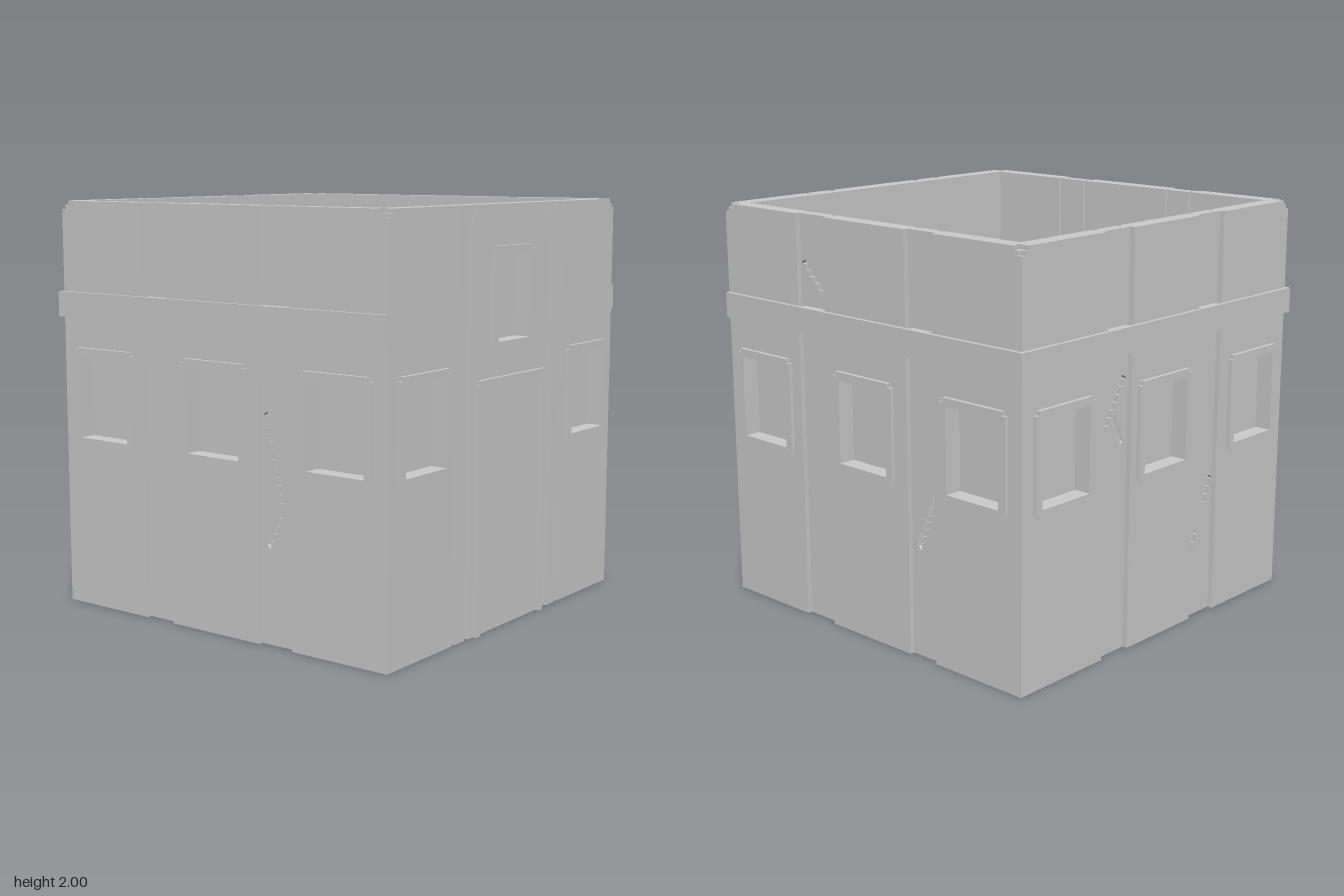
import * as THREE from 'three';

const material = new THREE.MeshStandardMaterial({ color: 0xcccccc, flatShading: true });
const TOP = 2;
// wall thickness, as layers from the outside in
const FACE = 0.98, STRIP = 0.955, CRACK = 0.935, PANE = 0.915, INNER = 0.895;

const toShape = pts => new THREE.Shape(pts.map(p => new THREE.Vector2(p[0], p[1])));
const rect = (u0, u1, y0, y1) => [[u0, y0], [u1, y0], [u1, y1], [u0, y1]];
const mirror = pts => pts.map(([u, y]) => [-u, y]);

// flat slab between two depths, with holes
function slab(name, pts, holes, z0, z1) {
  const shape = toShape(pts);
  holes.forEach(h => shape.holes.push(toShape(h)));
  const geo = new THREE.ExtrudeGeometry(shape, { depth: z1 - z0, bevelEnabled: false });
  geo.translate(0, 0, z0);
  const mesh = new THREE.Mesh(geo, material);
  mesh.name = name;
  return mesh;
}

// full-height panel: stepped chips at its top ends, slots cut down from the top
function panel(u0, u1, chip0 = 0, chip1 = 0, slots = []) {
  const s = 0.02, pts = [[u0, 0], [u1, 0]];
  for (let i = chip1; i > 0; i--) pts.push([u1 - (chip1 - i) * s, TOP - i * s], [u1 - (chip1 - i + 1) * s, TOP - i * s]);
  pts.push([u1 - chip1 * s, TOP]);
  [...slots].sort((a, b) => b[0] - a[0]).forEach(([a, b, y]) => pts.push([b, TOP], [b, y], [a, y], [a, TOP]));
  pts.push([u0 + chip0 * s, TOP]);
  for (let i = 1; i <= chip0; i++) pts.push([u0 + (chip0 - i + 1) * s, TOP - i * s], [u0 + (chip0 - i) * s, TOP - i * s]);
  return pts;
}

// stair-stepped crack outline from one point to another
function crack([u0, y0, u1, y1]) {
  const n = Math.max(3, Math.round(Math.hypot(u1 - u0, y1 - y0) / 0.04)), w = 0.02;
  const du = (u1 - u0) / n, dy = (y1 - y0) / n, path = [];
  for (let i = 0; i < n; i++) path.push([u0 + i * du, y0 + i * dy], [u0 + (i + 1) * du, y0 + i * dy]);
  path.push([u1, y1]);
  const back = path.map(([u, y]) => [u - Math.sign(du) * w, y + Math.sign(dy) * w]).reverse();
  return [...path, ...back];
}

// raised surround with notched corners
function windowFrame({ u, y0, y1, half }) {
  const m = 0.04, k = 0.02, a = u - half - m, b = u + half + m, c = y0 - m, d = y1 + m;
  const outline = [
    [a + k, c], [b - k, c], [b - k, c + k], [b, c + k], [b, d - k], [b - k, d - k],
    [b - k, d], [a + k, d], [a + k, d - k], [a, d - k], [a, c + k], [a + k, c + k]];
  return slab('windowFrame', outline, [rect(u - half, u + half, y0, y1)], FACE, 1);
}

const sideWindow = u => ({ u, y0: 0.845, y1: 1.25, half: 0.157 });

// one wall facing +z; "ends" marks walls that own the corners
function buildWall({ name, turn, ends, strips, windows, cracks, panels }) {
  const wall = new THREE.Group();
  wall.name = name;
  const span = (outer, inner) => (ends ? outer : inner);
  const openings = windows.map(w => ({ u: w.u, pts: rect(w.u - w.half, w.u + w.half, w.y0, w.y1) }));
  const allOpenings = openings.map(o => o.pts);

  // outer skin, split by the sunken strips
  if (!panels) {
    const e = span(FACE, STRIP), c = ends ? 2 : 1;
    const cuts = [-e, ...strips.flat(), e];
    panels = [];
    for (let i = 0; i < cuts.length; i += 2)
      panels.push(panel(cuts[i], cuts[i + 1], i === 0 ? c : 0, i === cuts.length - 2 ? c : 0));
  }
  panels.forEach(pts => {
    const us = pts.map(p => p[0]), lo = Math.min(...us), hi = Math.max(...us);
    const holes = openings.filter(o => o.u > lo && o.u < hi).map(o => o.pts);
    wall.add(slab('outerPanel', pts, holes, STRIP, FACE));
  });

  // cracked layer, solid core and inner lining with slots
  const e1 = span(STRIP, CRACK), e2 = span(CRACK, PANE), e3 = span(PANE, INNER);
  wall.add(slab('crackedLayer', panel(-e1, e1, 1, 1), [...allOpenings, ...cracks.map(crack)], CRACK, STRIP));
  wall.add(slab('wallCore', panel(-e2, e2), allOpenings, PANE, CRACK));
  const slots = strips.flatMap(([a, b]) => [[a, a + 0.022, 1.36], [b - 0.022, b, 1.36]]);
  wall.add(slab('innerLining', panel(-e3, e3, 0, 0, slots), [], INNER, PANE));

  windows.forEach(w => wall.add(windowFrame(w)));

  // horizontal band, with blocks filling the strips behind it
  if (strips.length) {
    const b = ends ? 1 : FACE;
    wall.add(slab('band', rect(-b, b, 1.435, 1.56), [], FACE, 1));
    strips.forEach(([s, t]) =>
      wall.add(slab('bandBlock', rect(s + 0.025, t - 0.025, 1.435, 1.56), [], STRIP, FACE)));
  }
  wall.rotation.y = turn;
  return wall;
}

export function createModel() {
  const model = new THREE.Group();
  model.name = 'building';

  // front: narrow grooves, the inner pair stepping inward at the top
  const middleEdge = [[0.342, 0], [0.342, 1.93], [0.32, 1.93], [0.32, 1.95], [0.3, 1.95], [0.3, 1.98], [0.28, 1.98], [0.28, TOP]];
  const pilaster = [
    [0.452, 0], [0.452, TOP], [0.315, TOP], [0.315, 1.99], [0.335, 1.99],
    [0.335, 1.965], [0.355, 1.965], [0.355, 1.945], [0.372, 1.945], [0.372, 0]];
  const front = buildWall({
    name: 'frontWall', turn: 0, ends: true, strips: [], cracks: [],
    windows: [sideWindow(-0.718), sideWindow(0.715), { u: 0, y0: 1.37, y1: 1.77, half: 0.138 }],
    panels: [
      panel(-FACE, -0.474, 2, 0), panel(0.472, FACE, 0, 2),
      pilaster, mirror(pilaster),
      [...middleEdge, ...mirror(middleEdge).reverse()]]
  });
  const doorHalf = [[0.268, 0], [0.302, 0], [0.302, 1.185], [0.285, 1.185], [0.285, 1.205]];
  front.add(slab('doorFrame', [
    ...doorHalf, ...mirror(doorHalf).reverse(), [-0.268, 1.165], [0.268, 1.165]], [], FACE, 1));
  model.add(front);

  model.add(buildWall({
    name: 'backWall', turn: Math.PI, ends: true,
    strips: [[-0.43, -0.24], [0.247, 0.438]],
    windows: [-0.71, 0, 0.71].map(sideWindow),
    cracks: [
      [-0.27, 1.33, -0.41, 1.1], [-0.335, 1.16, -0.27, 1.02],
      [0.42, 0.7, 0.28, 0.36], [0.36, 0.47, 0.42, 0.53]]
  }));

  model.add(buildWall({
    name: 'leftWall', turn: Math.PI / 2, ends: false,
    strips: [[-0.452, -0.258], [0.28, 0.452]],
    windows: [-0.71, 0, 0.705].map(sideWindow),
    cracks: [[-0.43, 1.78, -0.29, 1.64], [0.43, 0.8, 0.32, 0.54]]
  }));

  model.add(buildWall({
    name: 'rightWall', turn: -Math.PI / 2, ends: false,
    strips: [[-0.452, -0.28], [0.258, 0.452]],
    windows: [-0.705, 0, 0.71].map(sideWindow),
    cracks: [[0.29, 1.08, 0.4, 0.65], [0.36, 0.62, 0.29, 0.47]]
  }));

  return model;
}
